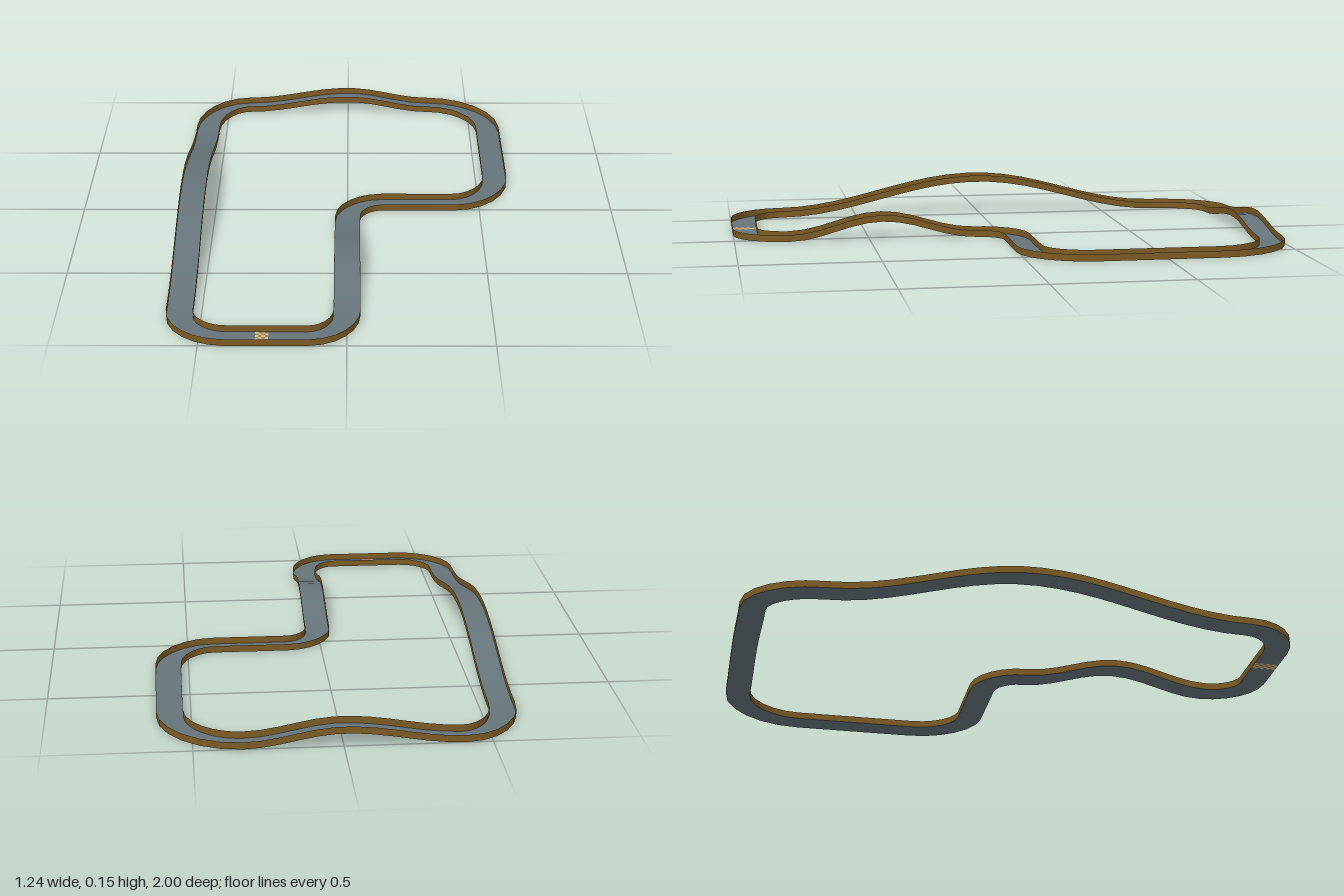
import * as THREE from 'three';

const HALF_WIDTH = 0.046;
const WALL_HEIGHT = 0.025;

// Straights in driving order: [x0, z0, x1, z1], steps, and an optional hill
const STRAIGHTS = [
  { line: [-0.575, 0.8, -0.575, -0.72], steps: 20, hill: { peak: 0.52, height: 0.127 } },
  { line: [-0.41, -0.954, 0.335, -0.954], steps: 12, hill: { peak: 0.55, height: 0.045 } },
  { line: [0.574, -0.7, 0.574, -0.25], steps: 4 },
  { line: [0.4, -0.04, 0.13, -0.04], steps: 3 },
  { line: [0, 0.1, 0, 0.8], steps: 12, hill: { peak: 0.5, height: 0.067 } },
  { line: [-0.13, 0.954, -0.265, 0.954], steps: 1 },
  { line: [-0.265, 0.954, -0.31, 0.954], steps: 1, startLine: true },
  { line: [-0.31, 0.954, -0.41, 0.954], steps: 1 },
];

// Smooth rise and fall, with the top at t = peak
function hillHeight(hill, t) {
  if (!hill) return 0;
  const d = t < hill.peak ? (hill.peak - t) / hill.peak : (t - hill.peak) / (1 - hill.peak);
  return hill.height * (0.5 + 0.5 * Math.cos(Math.PI * d));
}

// Centre-line stations, each with its left and right road edge
function trackStations() {
  const stations = [];
  const add = (p, dir, y, startLine = false) => {
    const side = new THREE.Vector3(-dir.y, 0, dir.x).multiplyScalar(HALF_WIDTH);
    const centre = new THREE.Vector3(p.x, y, p.y);
    stations.push({ left: centre.clone().sub(side), right: centre.clone().add(side), startLine });
  };
  STRAIGHTS.forEach((s, i) => {
    const a = new THREE.Vector2(s.line[0], s.line[1]);
    const b = new THREE.Vector2(s.line[2], s.line[3]);
    const dir = b.clone().sub(a).normalize();
    for (let k = 0; k < s.steps; k++) {
      const t = k / s.steps;
      add(a.clone().lerp(b, t), dir, hillHeight(s.hill, t), s.startLine);
    }
    // Rounded corner to the next straight
    const next = STRAIGHTS[(i + 1) % STRAIGHTS.length].line;
    const c = new THREE.Vector2(next[0], next[1]);
    if (c.distanceTo(b) < 0.001) return;
    const nextDir = new THREE.Vector2(next[2] - next[0], next[3] - next[1]).normalize();
    const gap = c.clone().sub(b);
    const curve = new THREE.CubicBezierCurve(
      b,
      b.clone().addScaledVector(dir, 0.53 * gap.dot(dir)),
      c.clone().addScaledVector(nextDir, -0.53 * gap.dot(nextDir)),
      c
    );
    for (let k = 0; k < 6; k++) add(curve.getPoint(k / 6), curve.getTangent(k / 6), 0);
  });
  return stations;
}

// Closed strip between two rows of points; skip(i) leaves a gap
function ribbon(rowA, rowB, skip = () => false) {
  const n = rowA.length;
  const index = [];
  for (let i = 0; i < n; i++) {
    if (skip(i)) continue;
    const j = (i + 1) % n;
    index.push(2 * i, 2 * i + 1, 2 * j, 2 * i + 1, 2 * j + 1, 2 * j);
  }
  const geometry = new THREE.BufferGeometry();
  geometry.setFromPoints(rowA.flatMap((p, i) => [p, rowB[i]]));
  geometry.setIndex(index);
  geometry.computeVertexNormals();
  return geometry;
}

function material(name, color) {
  const m = new THREE.MeshStandardMaterial({ color, side: THREE.DoubleSide });
  m.name = name;
  return m;
}

export function createModel() {
  const group = new THREE.Group();
  group.name = 'raceTrack';
  const road = material('asphalt grey', 0x66757b);
  const wood = material('barrier brown', 0x7d5c26);
  const light = material('start line cream', 0xd6bd8a);
  const dark = material('start line brown', 0x957e58);

  const addMesh = (name, geometry, mat, parent = group) => {
    const mesh = new THREE.Mesh(geometry, mat);
    mesh.name = name;
    parent.add(mesh);
    return mesh;
  };

  const stations = trackStations();
  const left = stations.map((s) => s.left);
  const right = stations.map((s) => s.right);
  const raise = (row) => row.map((p) => p.clone().setY(p.y + WALL_HEIGHT));

  // Road surface, open where the start line sits
  addMesh('road', ribbon(left, right, (i) => stations[i].startLine), road);

  // Thin barriers along both edges
  addMesh('outerBarrier', ribbon(raise(left), left), wood);
  addMesh('innerBarrier', ribbon(right, raise(right)), wood);

  // Chequered start line set into the road
  const startLine = new THREE.Group();
  startLine.name = 'startLine';
  group.add(startLine);
  const cols = 4, rows = 8;
  const w = 0.045 / cols, d = (2 * HALF_WIDTH) / rows;
  const cell = new THREE.PlaneGeometry(w, d).rotateX(-Math.PI / 2);
  for (let c = 0; c < cols; c++) {
    for (let r = 0; r < rows; r++) {
      const tile = addMesh('startLineTile', cell, (c + r) % 2 ? dark : light, startLine);
      tile.position.set(-0.31 + (c + 0.5) * w, 0, 0.954 - HALF_WIDTH + (r + 0.5) * d);
    }
  }
  return group;
}
